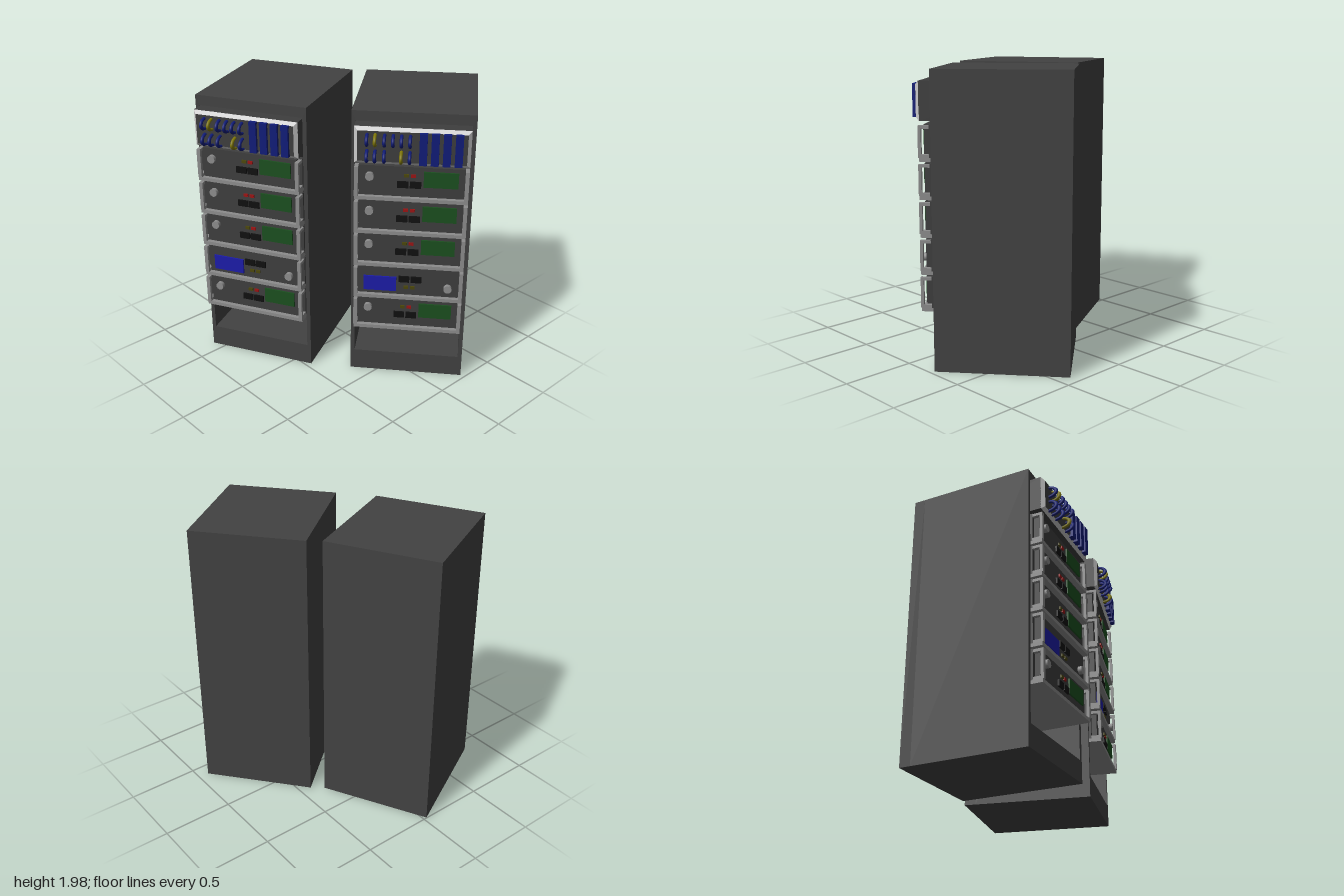
import * as THREE from 'three';

const mat = (color) => new THREE.MeshStandardMaterial({ color });
const M = {
  cabinet: mat(0x424242), unit: mat(0x3e3e3e), metal: mat(0x8c8c8c), bezel: mat(0xbdbdbd),
  black: mat(0x101010), green: mat(0x1b4f1f), screen: mat(0x1c1ca8), cable: mat(0x101c78),
  yellow: mat(0x807808), red: mat(0x9c1414), olive: mat(0x4c480c),
};
const W = 0.8, H = 1.98, D = 0.895;   // cabinet size
const FRONT = D / 2, HALF = 0.372;    // front plane, half opening width
const BACK = -0.2;                    // rear end of the rack units

function add(parent, name, geometry, material, x = 0, y = 0, z = 0) {
  const m = new THREE.Mesh(geometry, material);
  m.name = name;
  m.position.set(x, y, z);
  parent.add(m);
  return m;
}

// box given by its limits on each axis
function box(parent, name, material, [x0, x1], [y0, y1], [z0, z1]) {
  return add(parent, name, new THREE.BoxGeometry(x1 - x0, y1 - y0, z1 - z0), material,
    (x0 + x1) / 2, (y0 + y1) / 2, (z0 + z1) / 2);
}

function rectangle(Type, x, y0, y1) {
  const p = new Type();
  p.moveTo(-x, y0);
  p.lineTo(x, y0);
  p.lineTo(x, y1);
  p.lineTo(-x, y1);
  p.closePath();
  return p;
}

// hollow cabinet, open at the front
function cabinet(rack) {
  const inside = 0.815;
  const shape = rectangle(THREE.Shape, W / 2, 0, H);
  shape.holes.push(rectangle(THREE.Path, HALF, 0.155, 1.91));
  add(rack, 'cabinetShell', new THREE.ExtrudeGeometry(shape, { depth: inside, bevelEnabled: false }),
    M.cabinet, 0, 0, FRONT - inside);
  box(rack, 'cabinetBack', M.cabinet, [-W / 2, W / 2], [0, H], [-FRONT, FRONT - inside]);
}

// controls around the unit centre; flipped units are turned half round
function unit(rack, y, screen, lights, flipped) {
  const g = new THREE.Group();
  g.name = 'serverUnit';
  g.position.y = y;
  rack.add(g);
  box(g, 'unitBody', M.unit, [-0.345, 0.345], [-0.105, 0.105], [BACK, 0.5]);
  box(g, 'mountingFlange', M.unit, [-HALF, HALF], [-0.105, 0.105], [0.435, 0.463]);
  box(g, 'tray', M.metal, [-HALF, HALF], [-0.13, -0.105], [BACK, 0.53]);
  for (const s of [-1, 1]) {
    const handle = new THREE.Group();
    handle.name = 'handle';
    handle.position.x = s * 0.359;
    g.add(handle);
    box(handle, 'handleGrip', M.metal, [-0.013, 0.013], [-0.105, 0.1], [0.515, 0.535]);
    for (const ly of [-0.095, 0.09])
      box(handle, 'handleLeg', M.metal, [-0.013, 0.013], [ly - 0.01, ly + 0.01], [0.46, 0.516]);
  }
  const panel = new THREE.Group();
  panel.name = 'controls';
  if (flipped) panel.rotation.z = Math.PI;
  g.add(panel);
  box(panel, 'screen', screen, [0.08, 0.305], [-0.03, 0.078], [0.49, 0.512]);
  for (const x of [-0.055, 0.028]) {
    box(panel, 'button', M.black, [x - 0.037, x + 0.037], [-0.04, 0.004], [0.49, 0.513]);
  }
  lights.forEach((m, i) => {
    const x = -0.032 + i * 0.045;
    box(panel, 'light', m, [x - 0.016, x + 0.016], [0.035, 0.055], [0.49, 0.511]);
  });
  const knob = add(panel, 'knob', new THREE.CylinderGeometry(0.028, 0.028, 0.035, 16), M.metal, -0.272, 0.033, 0.51);
  knob.rotation.x = Math.PI / 2;
}

// bevelled patch panel with looped cables and vertical bars
function patchPanel(rack) {
  const g = new THREE.Group();
  g.name = 'patchPanel';
  rack.add(g);
  const y0 = 1.655, y1 = 1.905, bevel = 0.022;
  box(g, 'patchBody', M.unit, [-HALF, HALF], [y0, y1], [BACK, 0.526]);
  const bezel = new THREE.ExtrudeGeometry(
    rectangle(THREE.Shape, HALF - bevel, y0 + bevel, y1 - bevel),
    { depth: 0.002, bevelThickness: bevel, bevelSize: bevel, bevelSegments: 1 });
  add(g, 'patchBezel', bezel, [M.unit, M.bezel], 0, 0, 0.524);

  const loop = new THREE.TorusGeometry(0.036, 0.0095, 8, 16, Math.PI);
  loop.rotateZ(-Math.PI / 2).rotateY(-Math.PI / 2).scale(1.15, 1, 1.6);
  const columns = [-0.287, -0.235, -0.175, -0.12, -0.067, -0.012];
  for (const [y, gap, bright] of [[1.825, -1, 1], [1.715, 3, 4]]) {
    columns.forEach((x, i) => {
      if (i !== gap) add(g, 'cableLoop', loop, i === bright ? M.yellow : M.cable, x, y, 0.542);
    });
  }

  for (let i = 0; i < 4; i++) {
    const x = 0.072 + i * 0.075;
    box(g, 'patchBar', M.cable, [x - 0.025, x + 0.025], [1.672, 1.885], [0.555, 0.575]);
    for (const y of [1.68, 1.877])
      box(g, 'patchBarEnd', M.cable, [x - 0.025, x + 0.025], [y - 0.008, y + 0.008], [0.54, 0.556]);
  }
}

function rack(x, z, angle) {
  const g = new THREE.Group();
  g.name = 'serverRack';
  g.position.set(x, 0, z);
  g.rotation.y = angle;
  cabinet(g);
  patchPanel(g);
  for (let i = 0; i < 5; i++) {
    const blue = i === 3;
    const lights = blue ? [M.olive, M.olive] : [i % 2 ? M.red : M.olive, M.red];
    unit(g, 1.525 - i * 0.2475, blue ? M.screen : M.green, lights, blue);
  }
  return g;
}

export function createModel() {
  const model = new THREE.Group();
  model.name = 'serverRacks';
  model.add(rack(-0.437, 0.243, THREE.MathUtils.degToRad(27)));
  model.add(rack(0.375, -0.325, THREE.MathUtils.degToRad(39.4)));
  return model;
}
